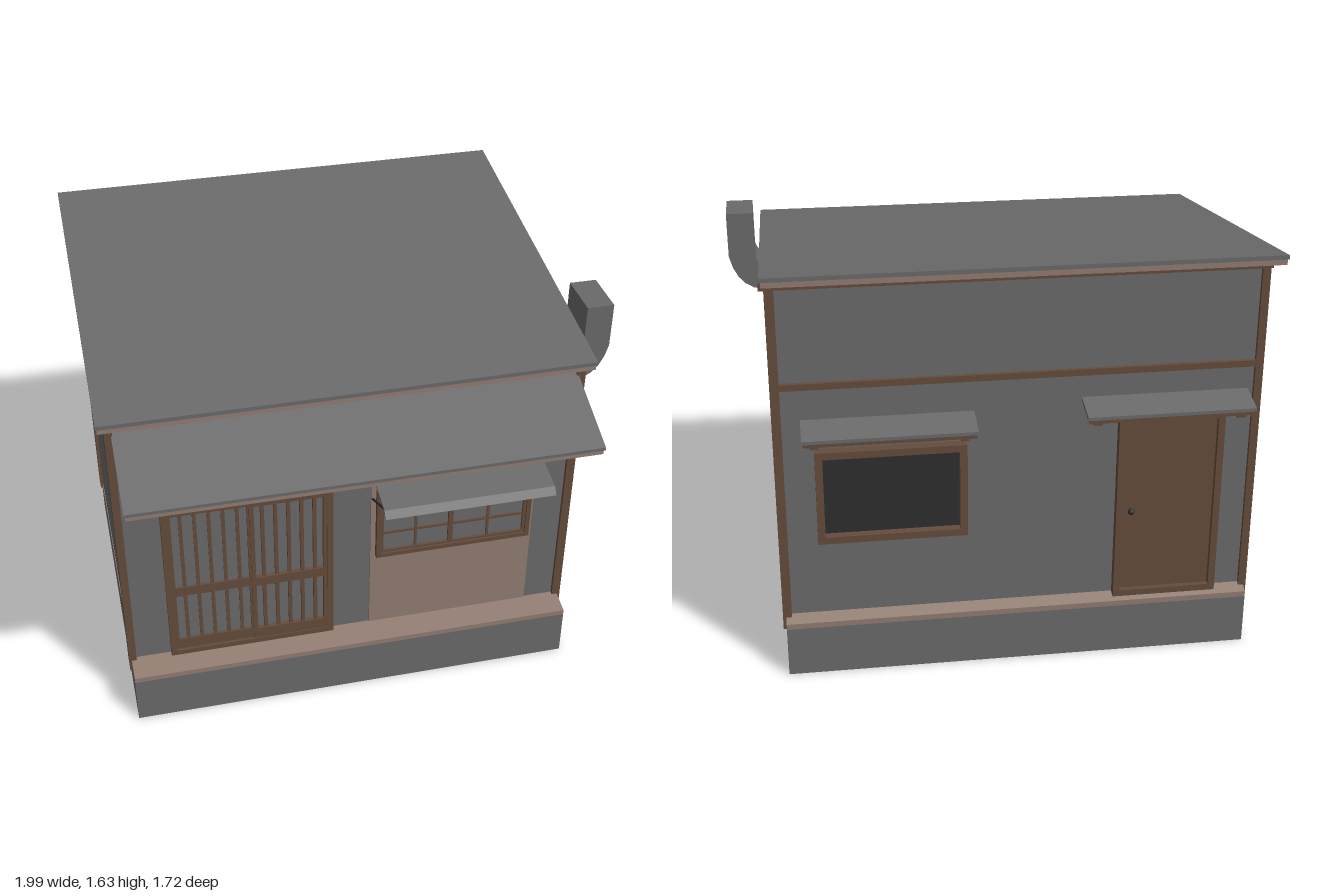
import * as THREE from 'three';

export function createModel() {
  const root = new THREE.Group();
  root.name = 'smallHouse';
  const mat = (name, color, side = THREE.FrontSide) => {
    const m = new THREE.MeshStandardMaterial({ color, side });
    m.name = name;
    return m;
  };
  const grey = mat('plasterGrey', 0x6a6a6a);
  const wood = mat('darkWood', 0x654c3c);
  const trim = mat('paleWood', 0x917c71);
  const dark = mat('darkGlass', 0x2e2e2e);

  const add = (name, geo, material) => {
    const mesh = new THREE.Mesh(geo, material);
    mesh.name = name;
    root.add(mesh);
    return mesh;
  };
  // Box given by its limits
  const box = (name, m, x0, x1, y0, y1, z0, z1) => {
    const g = new THREE.BoxGeometry(x1 - x0, y1 - y0, z1 - z0);
    g.translate((x0 + x1) / 2, (y0 + y1) / 2, (z0 + z1) / 2);
    return add(name, g, m);
  };
  // Side profile of [z, y] points drawn out along x
  const slab = (name, m, x0, x1, pts) => {
    const shape = new THREE.Shape(pts.map(p => new THREE.Vector2(p[0], p[1])));
    const g = new THREE.ExtrudeGeometry(shape, { depth: x1 - x0, bevelEnabled: false });
    g.rotateY(-Math.PI / 2);
    g.translate(x1, 0, 0);
    return add(name, g, m);
  };
  // Sloping sheet between two [z, y] points on its upper face
  const sheet = (name, m, x0, x1, a, b, t) =>
    slab(name, m, x0, x1, [a, b, [b[0], b[1] - t], [a[0], a[1] - t]]);
  // Four-sided frame on the front or back wall
  const frame = (name, m, x0, x1, y0, y1, z0, z1, w) => {
    box(name, m, x0, x0 + w, y0, y1, z0, z1);
    box(name, m, x1 - w, x1, y0, y1, z0, z1);
    box(name, m, x0 + w, x1 - w, y0, y0 + w, z0, z1);
    box(name, m, x0 + w, x1 - w, y1 - w, y1, z0, z1);
  };

  // Foundation with sloping sills
  box('foundation', [grey, grey, trim, trim, grey, grey], -0.96, 0.835, 0, 0.2, -0.78, 0.635);
  slab('frontSill', trim, -0.96, 0.835, [[0.635, 0.2], [0.635, 0.222], [0.52, 0.24], [0.52, 0.2]]);
  slab('backSill', trim, -0.96, 0.835, [[-0.78, 0.2], [-0.78, 0.222], [-0.72, 0.25], [-0.72, 0.2]]);
  box('sideSill', trim, 0.8, 0.831, 0.2, 0.248, -0.7, 0.5);

  // Walls under the sloping roof
  slab('walls', grey, -0.957, 0.822, [[0.53, 0.2], [0.53, 1.425], [-0.735, 1.58], [-0.735, 0.2]]);

  // Corner posts
  for (const [x0, x1] of [[-0.97, -0.94], [0.813, 0.847]]) {
    box('frontPost', wood, x0, x1, 0.185, 1.425, 0.47, 0.545);
    box('backPost', wood, x0, x1, 0.185, 1.575, -0.75, -0.675);
  }
  box('backTopBeam', wood, -0.975, 0.865, 1.555, 1.583, -0.76, -0.68);
  box('backBeam', wood, -0.95, 0.82, 1.17, 1.195, -0.75, -0.73);

  // Main roof
  sheet('roof', grey, -1, 0.86, [0.615, 1.445], [-0.845, 1.63], 0.016);
  sheet('roofBoards', trim, -0.995, 0.855, [0.61, 1.43], [-0.84, 1.6145], 0.022);

  // Long front awning
  sheet('awning', grey, -0.945, 0.82, [0.857, 1.232], [0.53, 1.352], 0.013);
  sheet('awningBoards', trim, -0.94, 0.815, [0.852, 1.22], [0.53, 1.339], 0.02);
  for (const x of [-0.93, -0.36, 0.21, 0.78])
    slab('awningBracket', wood, x, x + 0.025, [[0.53, 1.325], [0.53, 1.23], [0.77, 1.212], [0.77, 1.235]]);

  // Sliding lattice doors
  box('doorPane', grey, -0.79, -0.14, 0.25, 0.99, 0.53, 0.535);
  frame('doorFrame', wood, -0.8, -0.135, 0.24, 1.0, 0.53, 0.556, 0.022);
  [[-0.78, -0.452, 0.545], [-0.462, -0.155, 0.552]].forEach(([x0, x1, z]) => {
    box('doorBottomRail', wood, x0, x1, 0.262, 0.312, 0.53, z);
    box('doorMiddleRail', wood, x0, x1, 0.54, 0.582, 0.53, z);
    box('doorTopRail', wood, x0, x1, 0.94, 0.978, 0.53, z);
    box('doorStile', wood, x0, x0 + 0.018, 0.262, 0.978, 0.53, z);
    box('doorStile', wood, x1 - 0.018, x1, 0.262, 0.978, 0.53, z);
    for (let i = 1; i < 6; i++) {
      const x = x0 + (x1 - x0) * i / 6;
      box('doorSlat', wood, x - 0.007, x + 0.007, 0.3, 0.95, 0.53, z - 0.004);
    }
  });

  // Front window set in a pale panel
  box('windowPanel', trim, 0.02, 0.69, 0.24, 0.955, 0.52, 0.537);
  box('windowPane', grey, 0.05, 0.665, 0.61, 0.915, 0.537, 0.54);
  frame('windowFrame', wood, 0.04, 0.675, 0.597, 0.925, 0.53, 0.558, 0.018);
  for (const [x0, x1] of [[0.058, 0.347], [0.343, 0.657]]) {
    frame('sash', wood, x0, x1, 0.613, 0.91, 0.538, 0.55, 0.012);
    const xm = (x0 + x1) / 2;
    box('sashBar', wood, xm - 0.005, xm + 0.005, 0.62, 0.9, 0.538, 0.547);
    for (const y of [0.71, 0.81])
      box('sashBar', wood, x0, x1, y - 0.005, y + 0.005, 0.538, 0.547);
  }

  // Thin canopy on struts over the front window
  slab('canopy', grey, 0.02, 0.69, [[0.53, 1.02], [0.735, 0.983], [0.757, 0.955],
    [0.75, 0.953], [0.731, 0.977], [0.53, 1.013]]);
  for (const x of [0.022, 0.682])
    sheet('canopyStrut', dark, x, x + 0.006, [0.72, 0.982], [0.53, 0.886], 0.008);

  // Back window
  box('backWindowPane', dark, 0.15, 0.69, 0.57, 0.91, -0.742, -0.734);
  frame('backWindowFrame', wood, 0.14, 0.7, 0.555, 0.93, -0.775, -0.73, 0.028);

  // Back door
  box('backDoor', wood, -0.81, -0.45, 0.24, 0.98, -0.748, -0.73);
  frame('backDoorFrame', wood, -0.835, -0.43, 0.235, 1.0, -0.768, -0.73, 0.026);
  const knob = new THREE.SphereGeometry(0.013, 12, 8);
  knob.translate(-0.49, 0.6, -0.76);
  add('doorKnob', knob, dark);

  // Small roofs over the back window and door
  for (const [x0, x1, y] of [[0.11, 0.745, 1.05], [-0.92, -0.29, 1.08]]) {
    sheet('backCanopy', grey, x0, x1, [-0.86, y - 0.03], [-0.73, y], 0.013);
    sheet('backCanopyBoards', wood, x0 + 0.005, x1 - 0.005, [-0.855, y - 0.042], [-0.73, y - 0.013], 0.016);
    for (const x of [x0 + 0.03, x1 - 0.06])
      slab('backCanopyBracket', wood, x, x + 0.03, [[-0.73, y - 0.025], [-0.83, y - 0.05],
        [-0.83, y - 0.078], [-0.73, y - 0.085]]);
  }

  // Bent square flue on the left wall
  const flue = new THREE.Shape();
  flue.moveTo(0.81, 1.225);
  flue.lineTo(0.86, 1.225);
  flue.quadraticCurveTo(0.965, 1.235, 0.993, 1.37);
  flue.lineTo(0.993, 1.55);
  flue.lineTo(0.887, 1.55);
  flue.lineTo(0.887, 1.37);
  flue.quadraticCurveTo(0.88, 1.335, 0.855, 1.33);
  flue.lineTo(0.81, 1.33);
  const flueGeo = new THREE.ExtrudeGeometry(flue, { depth: 0.195, bevelEnabled: false, curveSegments: 5 });
  flueGeo.translate(0, 0, 0.21);
  add('flue', flueGeo, grey);

  return root;
}
